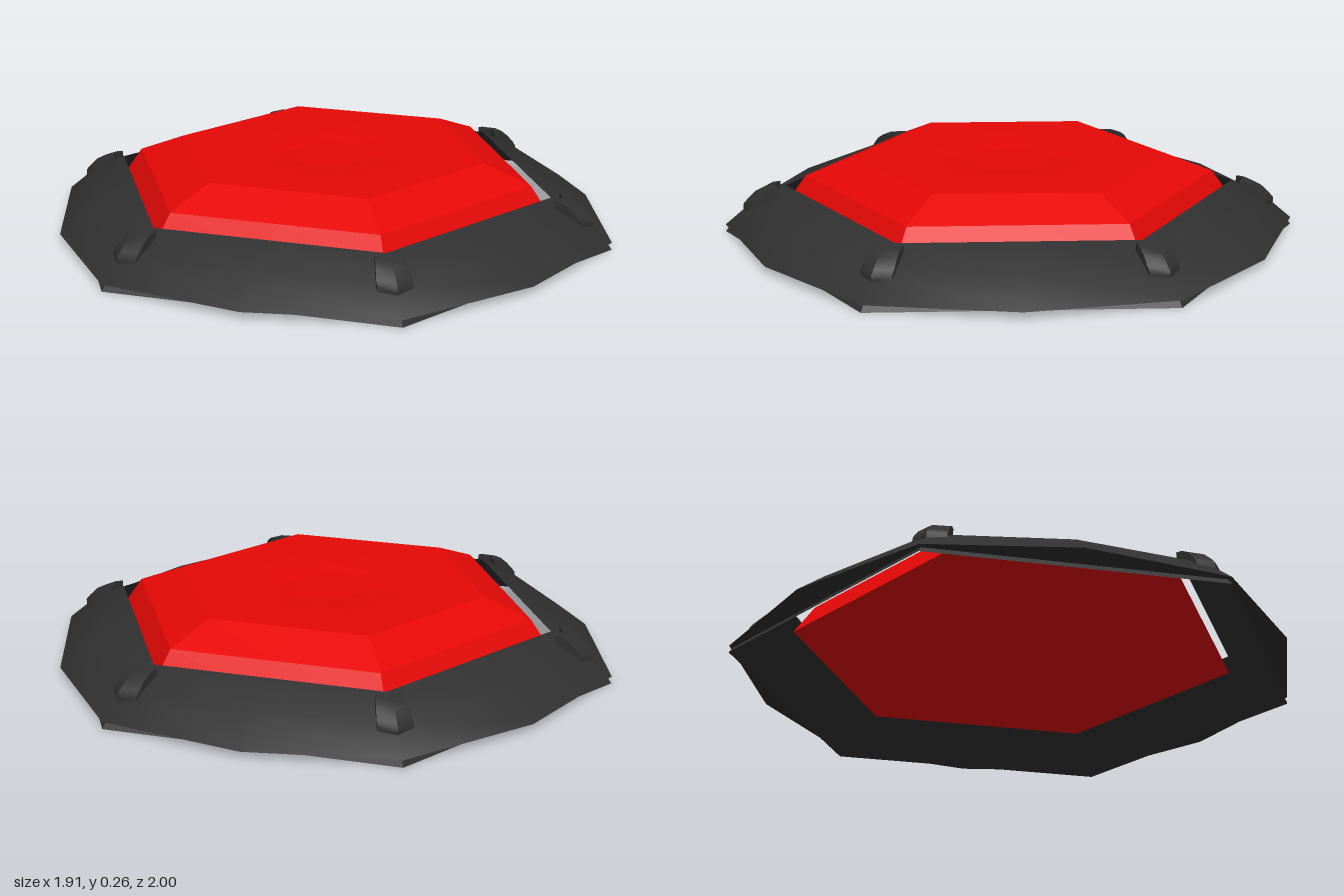
import * as THREE from 'three';
import { toCreasedNormals } from 'three/addons/utils/BufferGeometryUtils.js';

const DARK = new THREE.MeshStandardMaterial({ color: 0x303030 });
const RED = new THREE.MeshStandardMaterial({ color: 0xe60806 });

// Skin consecutive closed rows of points; edges sharper than the crease angle stay hard.
function skin(rows, crease) {
  const pos = [];
  const tri = (a, b, c) => {
    const area = b.clone().sub(a).cross(c.clone().sub(a)).length();
    if (area > 1e-9) for (const v of [a, b, c]) pos.push(v.x, v.y, v.z);
  };
  for (let k = 0; k + 1 < rows.length; k++) {
    const n = rows[k].length;
    for (let i = 0; i < n; i++) {
      const j = (i + 1) % n;
      tri(rows[k][i], rows[k + 1][i], rows[k + 1][j]);
      tri(rows[k][i], rows[k + 1][j], rows[k][j]);
    }
  }
  const g = new THREE.BufferGeometry();
  g.setAttribute('position', new THREE.Float32BufferAttribute(pos, 3));
  return toCreasedNormals(g, crease);
}

// Twelve-point ring: corner radius and mid-edge radius alternate (a hexagon by default).
function ring([r, y, mid = r * Math.cos(Math.PI / 6)]) {
  return Array.from({ length: 12 }, (_, i) => {
    const a = (i * Math.PI) / 6;
    const d = i % 2 ? mid : r;
    return new THREE.Vector3(d * Math.sin(a), y, d * Math.cos(a));
  });
}

function add(parent, name, geometry, material) {
  const mesh = new THREE.Mesh(geometry, material);
  mesh.name = name;
  parent.add(mesh);
  return mesh;
}

// Curved clip folded over a frame corner: chevron sections running outward.
function clipGeometry() {
  // centre radius, radius setback of the sides, half width, top height, bottom height
  const sections = [
    [0.825, 0.018, 0.042, 0.17, 0.135],
    [0.855, 0.022, 0.047, 0.165, 0.118],
    [0.89, 0.026, 0.053, 0.147, 0.097],
    [0.92, 0.029, 0.058, 0.118, 0.085],
    [0.935, 0.03, 0.058, 0.1, 0.074],
  ];
  const loop = ([r, set, w, top, low]) => [
    [-w, top, r - set], [0, top, r], [w, top, r - set],
    [w, low, r - set], [0, low, r], [-w, low, r - set],
  ].map((p) => new THREE.Vector3(...p));
  const rows = sections.map(loop);
  const cap = (row) => row.map(() => row[1].clone().add(row[4]).multiplyScalar(0.5));
  return skin([cap(rows[0]), ...rows, cap(rows[rows.length - 1])], 0.65);
}

export function createModel() {
  const model = new THREE.Group();
  model.name = 'hexagonalButton';

  // Frame: softly bulging top out to a twelve-sided brim
  const inner = [0.785, 0.165];
  const brim = [1, 0.025, 0.953];
  const frameTop = [inner, [0.9, 0.11, 0.845], brim];
  add(model, 'frameTop', skin(frameTop.map(ring), 0.7), DARK);

  // Frame underside: shallow groove below the brim, hexagonal foot, flat sloping panels
  const underside = [brim, [0.985, 0.021], [1, 0], inner];
  add(model, 'frameUnderside', skin(underside.map(ring), 0.3), DARK);

  // Faceted cap with a shallow dished centre and a flat underside
  const cap = [
    [0, 0.25], [0.15, 0.25], [0.24, 0.26], [0.35, 0.264], [0.55, 0.265],
    [0.715, 0.2], [0.785, 0.1], [0, 0.1],
  ];
  add(model, 'redCap', skin(cap.map(ring), 0.09), RED);

  // Clips at the six corners
  const clip = clipGeometry();
  for (let i = 0; i < 6; i++) {
    add(model, 'cornerClip' + (i + 1), clip, DARK).rotation.y = (i * Math.PI) / 3;
  }
  return model;
}
